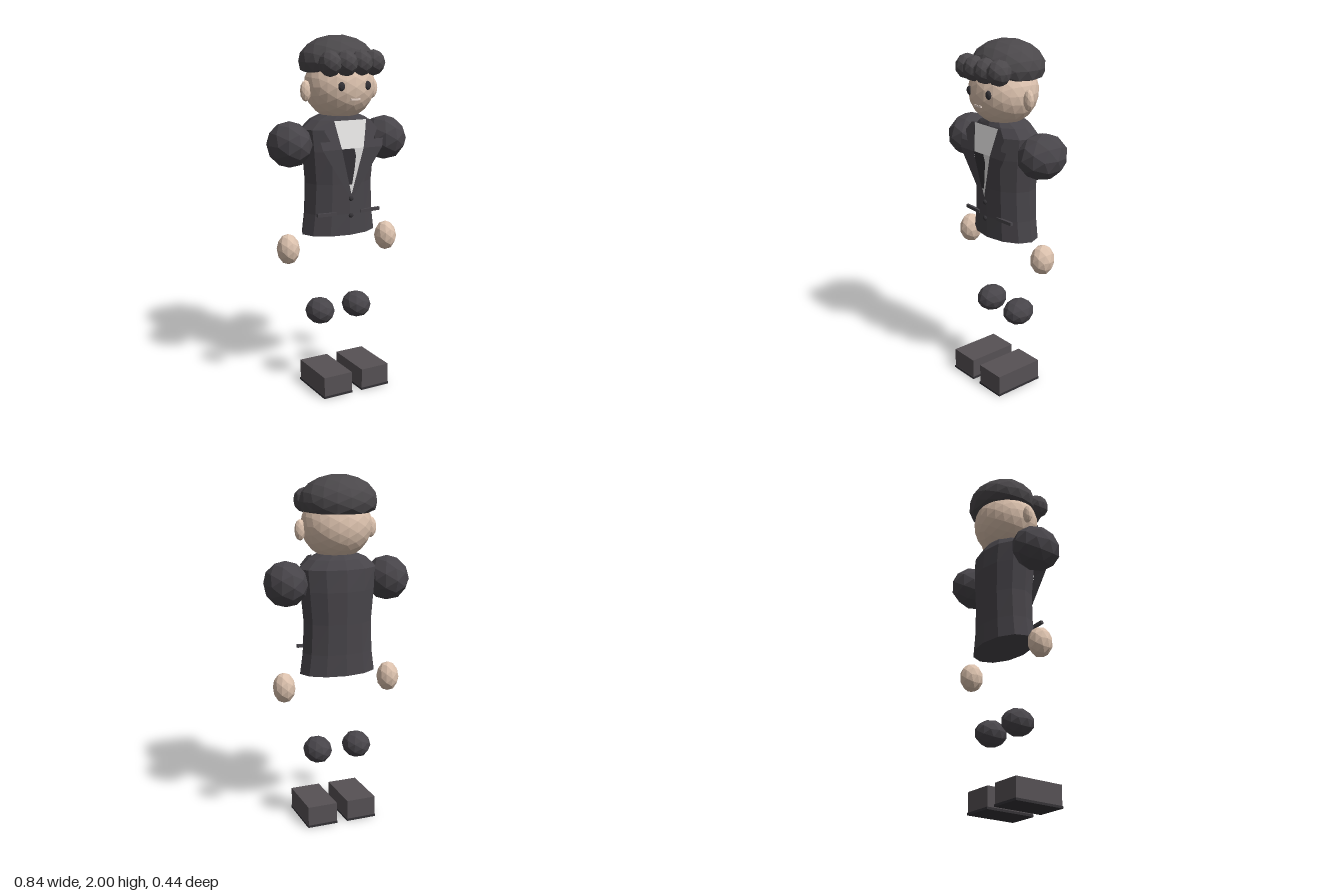
import * as THREE from 'three';

const mat = (name, color, side = THREE.FrontSide) => {
  const m = new THREE.MeshStandardMaterial({ color, side });
  m.name = name;
  return m;
};

export function createModel() {
  const model = new THREE.Group();
  model.name = 'suitedFigure';

  const skin = mat('skin', 0xdcc2ae);
  const hairMat = mat('hair', 0x4b484b);
  const suit = mat('suit', 0x48454a, THREE.DoubleSide);
  const shoeMat = mat('shoe', 0x565154);
  const white = mat('shirt', 0xe2e1e0, THREE.DoubleSide);
  const dark = mat('dark', 0x343236, THREE.DoubleSide);
  const lip = mat('lip', 0xe6d3c8);

  const add = (name, geo, material, x = 0, y = 0, z = 0) => {
    const mesh = new THREE.Mesh(geo, material);
    mesh.name = name;
    mesh.position.set(x, y, z);
    model.add(mesh);
    return mesh;
  };

  // Faceted ellipsoid, optionally flattened underneath
  const ball = (rx, ry, rz, detail = 1, floor = -1) => {
    const g = new THREE.IcosahedronGeometry(1, detail);
    const p = g.attributes.position;
    for (let i = 0; i < p.count; i++) p.setY(i, Math.max(p.getY(i), floor));
    g.scale(rx, ry, rz);
    g.computeVertexNormals();
    return g;
  };

  // Torso lofted from twelve-sided oval rings: [y, rx, rz, centre z]
  const rings = [
    [0.91, 0.225, 0.14, -0.02], [1.03, 0.208, 0.138, -0.02],
    [1.2, 0.2, 0.142, -0.02], [1.38, 0.217, 0.15, -0.018],
    [1.5, 0.226, 0.14, -0.02], [1.55, 0.17, 0.118, -0.015],
    [1.575, 0.11, 0.1, -0.01],
  ];
  const N = 12, pos = [], idx = [];
  for (const [y, rx, rz, cz] of rings) {
    for (let i = 0; i < N; i++) {
      const a = (i / N) * Math.PI * 2;
      pos.push(Math.cos(a) * rx, y, Math.sin(a) * rz + cz);
    }
  }
  const last = (rings.length - 1) * N, low = rings.length * N, high = low + 1;
  pos.push(0, rings[0][0], -0.02, 0, 1.575, -0.01);
  for (let i = 0; i < N; i++) {
    const j = (i + 1) % N;
    for (let r = 0; r < last; r += N) {
      idx.push(r + i, r + N + i, r + j, r + j, r + N + i, r + N + j);
    }
    idx.push(low, i, j, high, last + j, last + i);
  }
  let torso = new THREE.BufferGeometry();
  torso.setAttribute('position', new THREE.Float32BufferAttribute(pos, 3));
  torso.setIndex(idx);
  torso = torso.toNonIndexed();
  torso.computeVertexNormals();
  add('jacket', torso, suit);

  // Thin front panels that follow the chest slope
  const chestZ = (y) => (y > 1.4
    ? THREE.MathUtils.lerp(0.145, 0.112, (y - 1.4) / 0.15)
    : THREE.MathUtils.lerp(0.132, 0.145, (y - 1.14) / 0.26));
  const panel = (name, pts, material, lift) => {
    let g = new THREE.ShapeGeometry(new THREE.Shape(pts.map(([x, y]) => new THREE.Vector2(x, y))));
    const p = g.attributes.position;
    for (let i = 0; i < p.count; i++) p.setZ(i, chestZ(p.getY(i)) + lift);
    g = g.toNonIndexed();
    g.computeVertexNormals();
    return add(name, g, material);
  };
  panel('shirtUpper', [[-0.07, 1.4], [0.07, 1.4], [0.105, 1.55], [-0.105, 1.55]], white, 0);
  panel('shirtLower', [[0, 1.135], [0.07, 1.4], [-0.07, 1.4]], white, 0);
  panel('tie', [[-0.075, 1.4], [-0.02, 1.2], [0.002, 1.2], [0.015, 1.29], [0.021, 1.36], [0.01, 1.4]], dark, 0.003);
  for (const s of [1, -1]) {
    panel('lapelUpper', [[0.07, 1.4], [0.185, 1.4], [0.195, 1.445], [0.135, 1.445],
      [0.165, 1.5], [0.125, 1.55], [0.1, 1.555]].map(([x, y]) => [x * s, y]), suit, 0.007);
    panel('lapelLower', [[0, 1.135], [0.015, 1.14], [0.14, 1.33], [0.185, 1.4], [0.07, 1.4]]
      .map(([x, y]) => [x * s, y]), suit, 0.007);
    const pocket = add('pocketFlap', new THREE.BoxGeometry(0.12, 0.018, 0.016), suit, 0.137 * s, 1.037, 0.103);
    pocket.rotation.z = 0.03 * s;
  }
  for (const y of [1.12, 1.025]) add('button', ball(0.014, 0.014, 0.01), dark, 0, y, 0.131);

  // Head and face
  add('head', ball(0.197, 0.187, 0.187, 3), skin, 0, 1.73, -0.003);
  add('mouth', new THREE.BoxGeometry(0.056, 0.01, 0.009), lip, 0, 1.667, 0.173);

  // Hair cap with a row of front curls
  add('hair', ball(0.216, 0.143, 0.193, 2, -0.42), hairMat, 0, 1.859, -0.033);
  for (const [x, z] of [[0.132, 0.137], [0.045, 0.152]]) {
    for (const s of [1, -1]) add('curl', ball(0.062, 0.07, 0.07), hairMat, x * s, 1.856, z);
  }

  // Mirrored parts
  for (const s of [1, -1]) {
    add('eye', ball(0.02, 0.025, 0.012), dark, 0.08 * s, 1.737, 0.166);
    add('ear', ball(0.032, 0.058, 0.026), skin, 0.208 * s, 1.708, 0);
    add('shoulder', ball(0.12, 0.127, 0.147), suit, 0.301 * s, 1.422, -0.018);
    add('hand', ball(0.063, 0.087, 0.071), skin, 0.318 * s, 0.838, -0.015);
    add('knee', ball(0.082, 0.077, 0.095), suit, 0.121 * s, 0.444, -0.015);
    add('shoe', new THREE.BoxGeometry(0.176, 0.112, 0.3), shoeMat, 0.121 * s, 0.069, 0.053);
    add('sole', new THREE.BoxGeometry(0.182, 0.013, 0.306), dark, 0.121 * s, 0.0065, 0.053);
  }
  return model;
}
